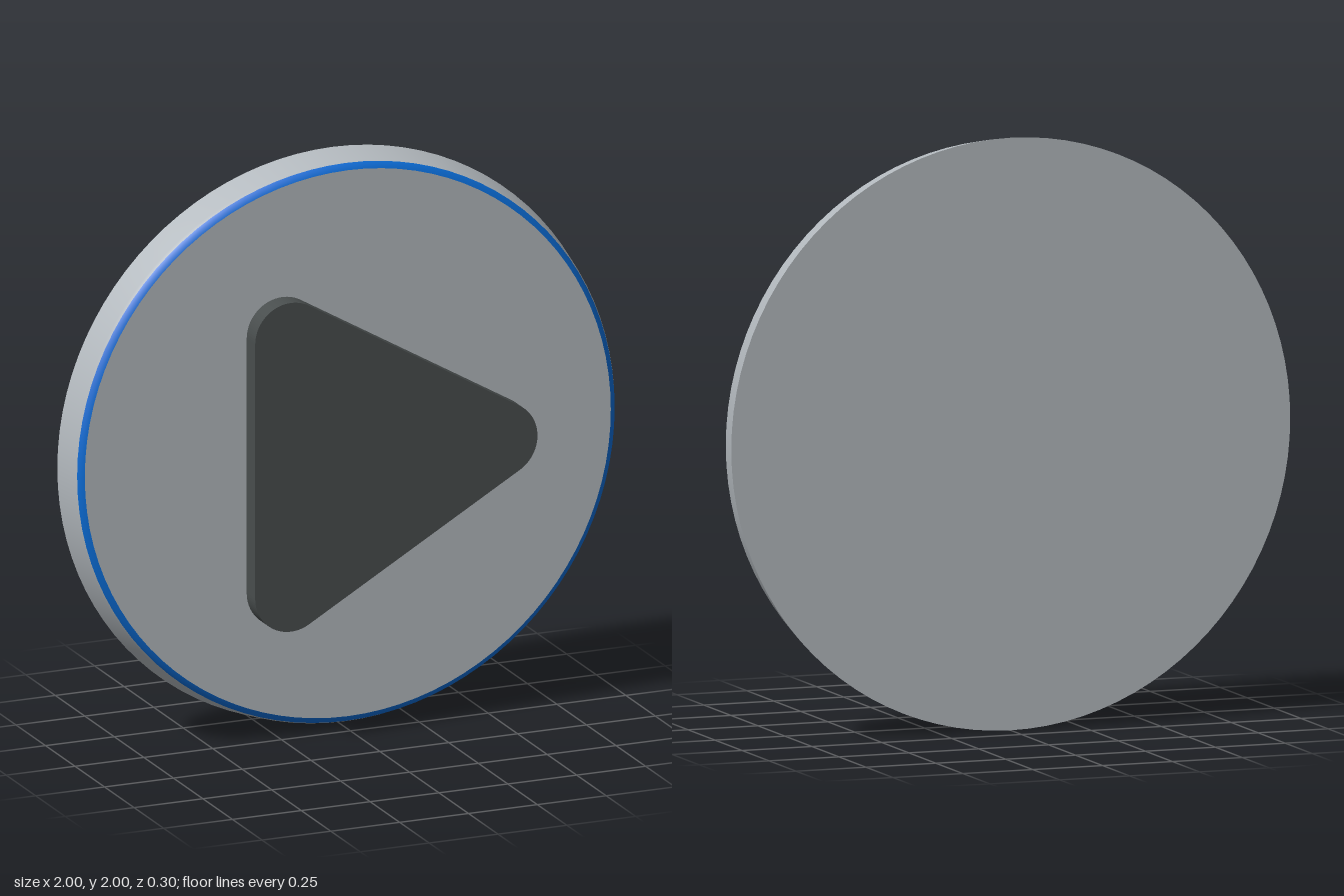
import * as THREE from 'three';

export function createModel() {
  const group = new THREE.Group();
  const mat = (name, color) => {
    const m = new THREE.MeshStandardMaterial({ color });
    m.name = name;
    return m;
  };
  const grey = mat('light grey', 0xb4babf);
  const blue = mat('blue', 0x0a6cd6);
  const dark = mat('dark grey', 0x494e4e);

  const add = (name, geometry, material) => {
    const mesh = new THREE.Mesh(geometry, material);
    mesh.name = name;
    mesh.position.y = 1;
    group.add(mesh);
  };
  // Profile of [radius, z] pairs, back to front, turned about the z axis
  const turned = (pts) =>
    new THREE.LatheGeometry(pts.map(([r, z]) => new THREE.Vector2(r, z)), 96).rotateX(Math.PI / 2);

  // Tapered dish with a thin blue ring on its rounded front edge
  add('discBack', turned([[0, -0.15], [1, -0.15]]), grey);
  add('discRim', turned([[1, -0.15], [0.981, -0.05], [0.976, -0.038]]), grey);
  add('edgeRing', turned([[0.976, -0.038], [0.968, -0.028], [0.955, -0.022]]), blue);
  add('discFace', turned([[0.955, -0.022], [0, -0.022]]), grey);

  // Rounded triangle floating in front: one arc per corner, joined by straight edges
  const r = 0.13;
  const shape = new THREE.Shape();
  [[0.485, 0, 0], [-0.28, 0.445, 1], [-0.28, -0.445, 2]].forEach(([x, y, i]) => {
    const mid = (i * 2 * Math.PI) / 3;
    shape.absarc(x, y, r, mid - Math.PI / 3, mid + Math.PI / 3, false);
  });
  shape.closePath();
  const triangle = new THREE.ExtrudeGeometry(shape, { depth: 0.072, bevelEnabled: false, curveSegments: 16 });
  triangle.translate(0, 0, 0.078);
  add('triangle', triangle, dark);

  return group;
}
